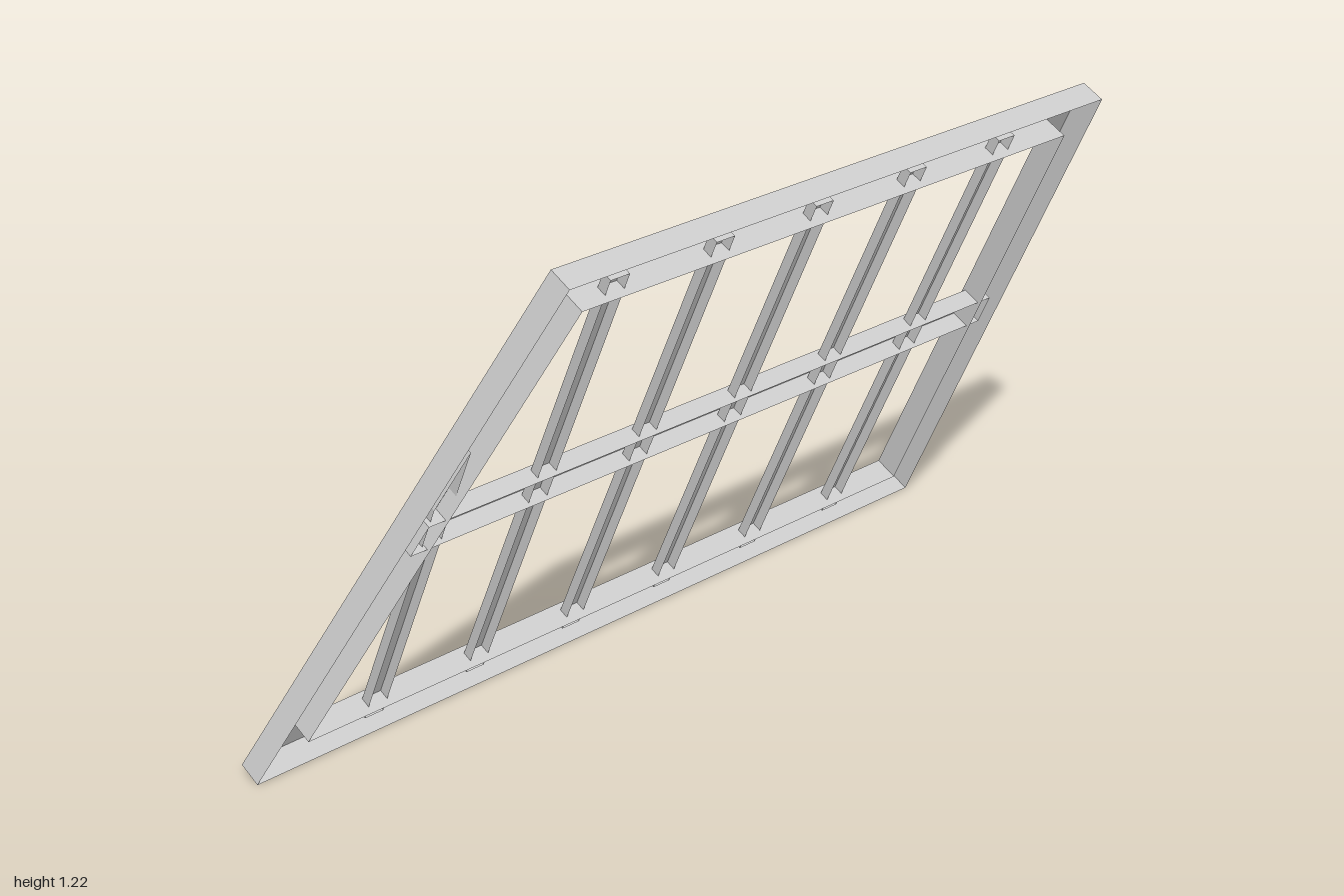
import * as THREE from 'three';

const TILT = Math.atan2(0.415, 0.91); // lean from vertical
const HALF = 0.6565;                  // half length up the slope
const BAR = 0.082;                    // width of the frame bars
const material = new THREE.MeshStandardMaterial({ color: 0xcccccc, flatShading: true, side: THREE.DoubleSide });

// z of the slanted end at slope height v, moved inwards by a distance
const slope = (0.565 - 1) / (2 * HALF);
const slantZ = (v, inset) => 1 + slope * (v + HALF) - inset * Math.hypot(1, slope);
const slantV = (z, inset) => (z - 1 + inset * Math.hypot(1, slope)) / slope - HALF;

// Points are [z, v]; the plane's first axis runs towards -z
const toPoints = (list) => list.map(([z, v]) => new THREE.Vector2(-z, v));

// Extruded outline, left open on the underside
function channel(name, outline, halfDepth, hole) {
  const shape = new THREE.Shape(toPoints(outline));
  if (hole) shape.holes.push(new THREE.Path(toPoints(hole)));
  const solid = new THREE.ExtrudeGeometry(shape, { depth: 2 * halfDepth, bevelEnabled: false });
  const source = solid.index ? solid.toNonIndexed() : solid;
  const p = source.attributes.position;
  const kept = [];
  for (let i = 0; i < p.count; i += 3) {
    if ([0, 1, 2].every((k) => p.getZ(i + k) > halfDepth)) continue;
    for (let k = 0; k < 3; k++) kept.push(p.getX(i + k), p.getY(i + k), p.getZ(i + k) - halfDepth);
  }
  const geometry = new THREE.BufferGeometry();
  geometry.setAttribute('position', new THREE.Float32BufferAttribute(kept, 3));
  geometry.computeVertexNormals();
  const mesh = new THREE.Mesh(geometry, material);
  mesh.name = name;
  return mesh;
}

// Four-sided outline bounded by the slanted end
const trapezoid = (inset) => {
  const v = HALF - inset;
  return [[-1 + inset, -v], [slantZ(-v, inset), -v], [slantZ(v, inset), v], [-1 + inset, v]];
};

export function createModel() {
  const model = new THREE.Group();
  model.name = 'leaningFrame';
  const panel = new THREE.Group();
  panel.name = 'panel';
  model.add(panel);

  // Outer frame
  panel.add(channel('outerFrame', trapezoid(0), 0.03, trapezoid(BAR)));

  // Middle rail, ending inside the frame bars
  const r = 0.039;
  panel.add(channel('middleRail', [
    [-1 + BAR / 2, -r], [slantZ(-r, BAR / 2), -r], [slantZ(r, BAR / 2), r], [-1 + BAR / 2, r],
  ], 0.023));

  // Slats, the front one cut along the slanted bar
  const reach = HALF - BAR / 2, w = 0.025;
  for (let i = 0; i < 6; i++) {
    const z = 0.69 - 0.282 * i;
    const top = (edge) => Math.min(reach, slantV(edge, BAR / 2));
    panel.add(channel('slat' + (i + 1), [
      [z - w, -reach], [z + w, -reach], [z + w, top(z + w)], [z - w, top(z - w)],
    ], 0.0125));
  }

  // Lean the panel towards +x
  const s = Math.sin(TILT), c = Math.cos(TILT);
  panel.quaternion.setFromRotationMatrix(new THREE.Matrix4().makeBasis(
    new THREE.Vector3(0, 0, -1), new THREE.Vector3(s, c, 0), new THREE.Vector3(c, -s, 0)));
  panel.position.y = 0.613;
  return model;
}
